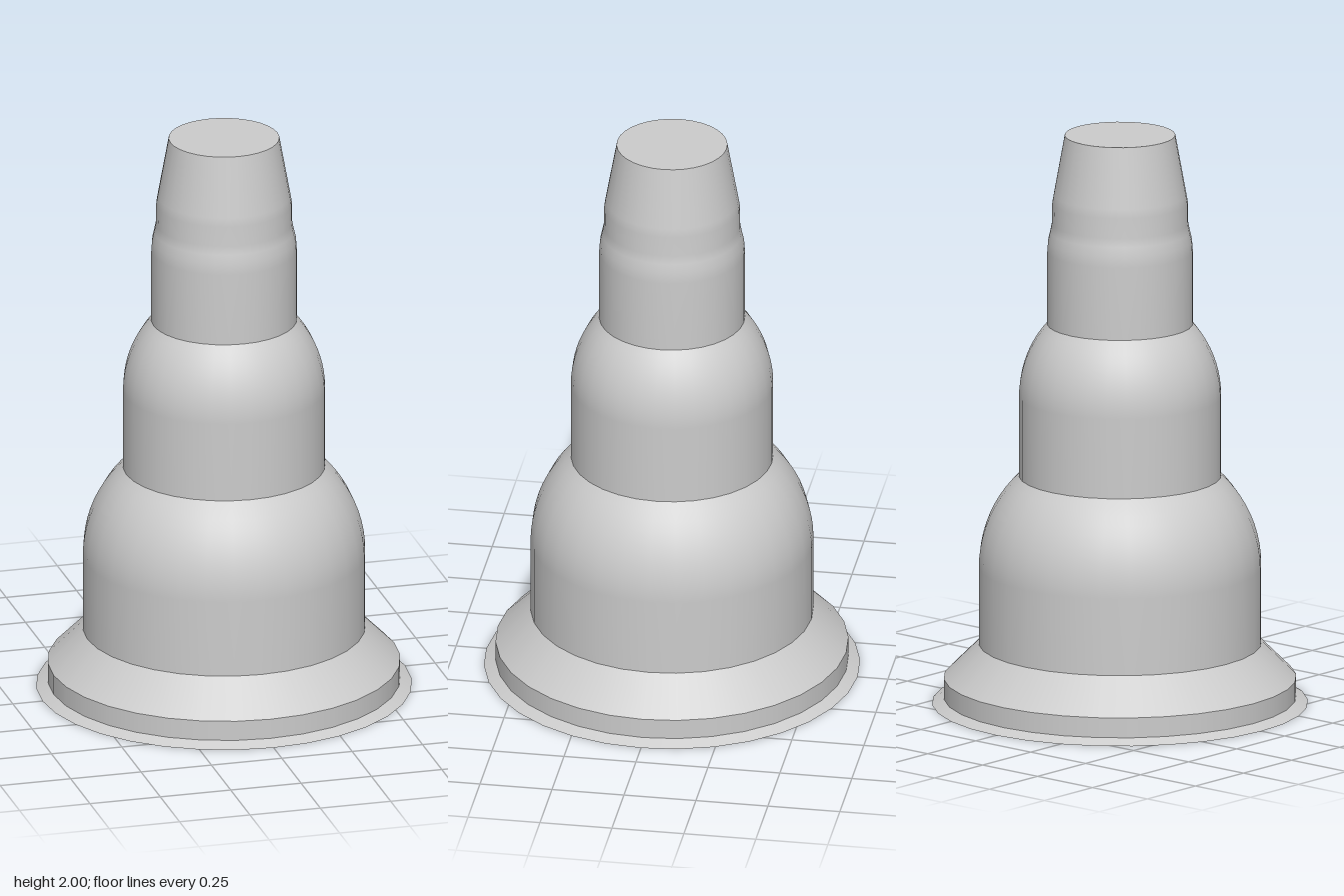
import * as THREE from 'three';

const SIDES = 32;
const material = new THREE.MeshStandardMaterial({ color: 0xcccccc });

function add(group, name, geometry) {
  const mesh = new THREE.Mesh(geometry, material);
  mesh.name = name;
  group.add(mesh);
  return mesh;
}

// Surface of revolution from [radius, height] pairs, listed bottom to top
function turned(group, name, profile) {
  const points = profile.map(([r, y]) => new THREE.Vector2(r, y));
  return add(group, name, new THREE.LatheGeometry(points, SIDES));
}

// Straight wall that curves inwards along a circular arc to the next tier
function domedProfile(bottom, wallTop, radius, topRadius, top) {
  const dx = radius - topRadius;
  const dy = top - wallTop;
  const arcRadius = (dx * dx + dy * dy) / (2 * dx);
  const sweep = Math.asin(dy / arcRadius);
  const profile = [[radius, bottom]];
  const steps = 10;
  for (let i = 0; i <= steps; i++) {
    const a = (sweep * i) / steps;
    profile.push([radius - arcRadius * (1 - Math.cos(a)), wallTop + arcRadius * Math.sin(a)]);
  }
  return profile;
}

function disc(group, name, radius, y, facing) {
  const cap = new THREE.CircleGeometry(radius, SIDES);
  cap.rotateX((-facing * Math.PI) / 2);
  cap.translate(0, y, 0);
  return add(group, name, cap);
}

export function createModel() {
  const group = new THREE.Group();
  group.name = 'steppedTower';

  // Base: thin flared lip, short rim and sloping shoulder
  disc(group, 'baseUnderside', 0.645, 0, -1);
  turned(group, 'baseLip', [[0.645, 0], [0.605, 0.02]]);
  turned(group, 'baseRim', [[0.605, 0.02], [0.605, 0.09]]);
  turned(group, 'baseShoulder', [[0.605, 0.09], [0.485, 0.21]]);

  // Two domed tiers
  turned(group, 'lowerTier', domedProfile(0.21, 0.48, 0.485, 0.347, 0.8));
  turned(group, 'middleTier', domedProfile(0.8, 1.08, 0.347, 0.25, 1.335));

  // Neck with a soft step, tapering to the flat tip
  turned(group, 'neck', [
    [0.25, 1.335], [0.25, 1.59], [0.247, 1.63], [0.24, 1.66],
    [0.234, 1.69], [0.233, 1.76], [0.228, 1.79], [0.19, 2],
  ]);
  disc(group, 'tip', 0.19, 2, 1);

  return group;
}
